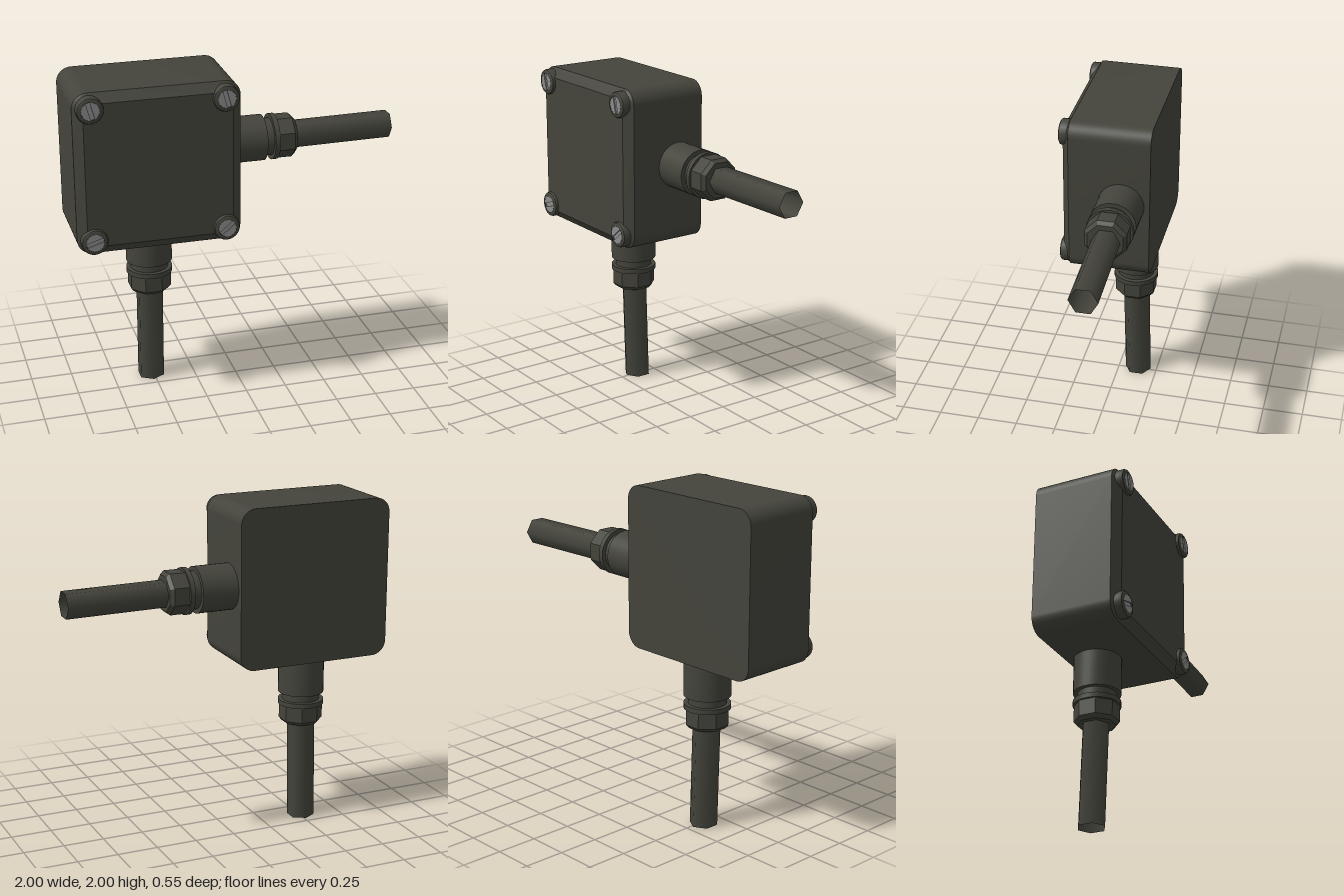
import * as THREE from 'three';
import { toCreasedNormals } from 'three/addons/utils/BufferGeometryUtils.js';

const casing = new THREE.MeshStandardMaterial({ name: 'dark olive plastic', color: 0x44443c });
const cableSkin = new THREE.MeshStandardMaterial({ name: 'dark olive cable', color: 0x44443c, side: THREE.DoubleSide });
const steel = new THREE.MeshStandardMaterial({ name: 'screw grey', color: 0x8c8c8c });

function add(parent, name, geometry, material) {
  const mesh = new THREE.Mesh(geometry, material);
  mesh.name = name;
  parent.add(mesh);
  return mesh;
}

function roundedSquare(half, r) {
  const s = new THREE.Shape();
  const c = half - r;
  s.absarc(c, c, r, 0, Math.PI / 2);
  s.absarc(-c, c, r, Math.PI / 2, Math.PI);
  s.absarc(-c, -c, r, Math.PI, Math.PI * 1.5);
  s.absarc(c, -c, r, Math.PI * 1.5, Math.PI * 2);
  s.closePath();
  return s;
}

// Round corner boss with a slotted screw head, facing +z
function cornerScrew(slotAngle) {
  const g = new THREE.Group();
  g.name = 'cornerScrew';
  const profile = [[0.078, -0.06], [0.078, -0.015], [0.074, -0.006], [0.062, 0], [0.053, 0], [0.053, -0.012], [0, -0.012]]
    .map(([r, y]) => new THREE.Vector2(r, y));
  const boss = new THREE.LatheGeometry(profile, 24).rotateX(Math.PI / 2);
  add(g, 'screwBoss', toCreasedNormals(boss, 0.5), casing);

  const floor = new THREE.CylinderGeometry(0.052, 0.052, 0.006, 24).rotateX(Math.PI / 2);
  add(g, 'slotFloor', floor, steel).position.z = -0.011;

  // Two halves of the head leave the slot between them
  const a = Math.asin(0.012 / 0.052);
  for (const turn of [0, Math.PI]) {
    const s = new THREE.Shape();
    s.absarc(0, 0, 0.052, a, Math.PI - a);
    s.closePath();
    const half = new THREE.ExtrudeGeometry(s, { depth: 0.01, bevelEnabled: false, curveSegments: 14 });
    const mesh = add(g, 'screwHeadHalf', toCreasedNormals(half, 0.5), steel);
    mesh.position.z = -0.01;
    mesh.rotation.z = slotAngle + turn;
  }
  return g;
}

// Cable gland and cable, running along local +y from the box wall
function cableGland(name) {
  const g = new THREE.Group();
  g.name = name;
  const ring = (part, y0, y1, r0, r1, sides = 32) => {
    const geo = new THREE.CylinderGeometry(r1, r0, y1 - y0, sides, 1, false, Math.PI / sides);
    geo.translate(0, (y0 + y1) / 2, 0);
    add(g, part, toCreasedNormals(geo, 0.5), casing);
  };
  ring('barrel', -0.02, 0.223, 0.139, 0.139);
  ring('neck', 0.22, 0.275, 0.113, 0.113);
  ring('flange', 0.27, 0.3, 0.139, 0.139);
  ring('nut', 0.3, 0.395, 0.1326, 0.1326, 8);
  ring('nutTaper', 0.395, 0.417, 0.1326, 0.112, 8);

  // Six-sided open cable that drifts slightly backwards
  const cable = new THREE.CylinderGeometry(0.084, 0.084, 0.62, 6, 1, true);
  cable.translate(0, 0.72, 0);
  const p = cable.attributes.position;
  for (let i = 0; i < p.count; i++) {
    p.setZ(i, p.getZ(i) - 0.005 - 0.017 * (p.getY(i) - 0.41) / 0.62);
  }
  add(g, 'cable', cable, cableSkin);
  return g;
}

export function createModel() {
  const model = new THREE.Group();
  model.name = 'junctionBox';
  const cx = -0.515, cy = 1.515, half = 0.485;

  // Box body with rounded upright edges
  const body = new THREE.ExtrudeGeometry(roundedSquare(half, 0.09), { depth: 0.488, bevelEnabled: false, curveSegments: 8 });
  add(model, 'boxBody', toCreasedNormals(body, 0.5), casing).position.set(cx, cy, -0.277);

  // Lid with sloping edges; its rear half sits inside the body
  const lid = new THREE.ExtrudeGeometry(roundedSquare(half - 0.055, 0.035), {
    depth: 0.002, bevelThickness: 0.043, bevelSize: 0.055, bevelSegments: 1, curveSegments: 8,
  });
  add(model, 'lid', toCreasedNormals(lid, 0.5), casing).position.set(cx, cy, 0.21);

  // Corner screws, each turned differently
  const screws = [[-1, 1, 1.83], [1, 1, 1.83], [-1, -1, 0.3], [1, -1, 0.7]];
  for (const [sx, sy, angle] of screws) {
    const screw = cornerScrew(angle);
    screw.position.set(cx + sx * 0.39, cy + sy * 0.396, 0.277);
    model.add(screw);
  }

  // Side and bottom outlets
  const side = cableGland('sideGland');
  side.position.set(-0.03, cy, -0.105);
  side.rotation.z = -Math.PI / 2;
  const bottom = cableGland('bottomGland');
  bottom.position.set(cx, 1.03, -0.105);
  bottom.rotation.z = Math.PI;
  model.add(side, bottom);
  return model;
}
